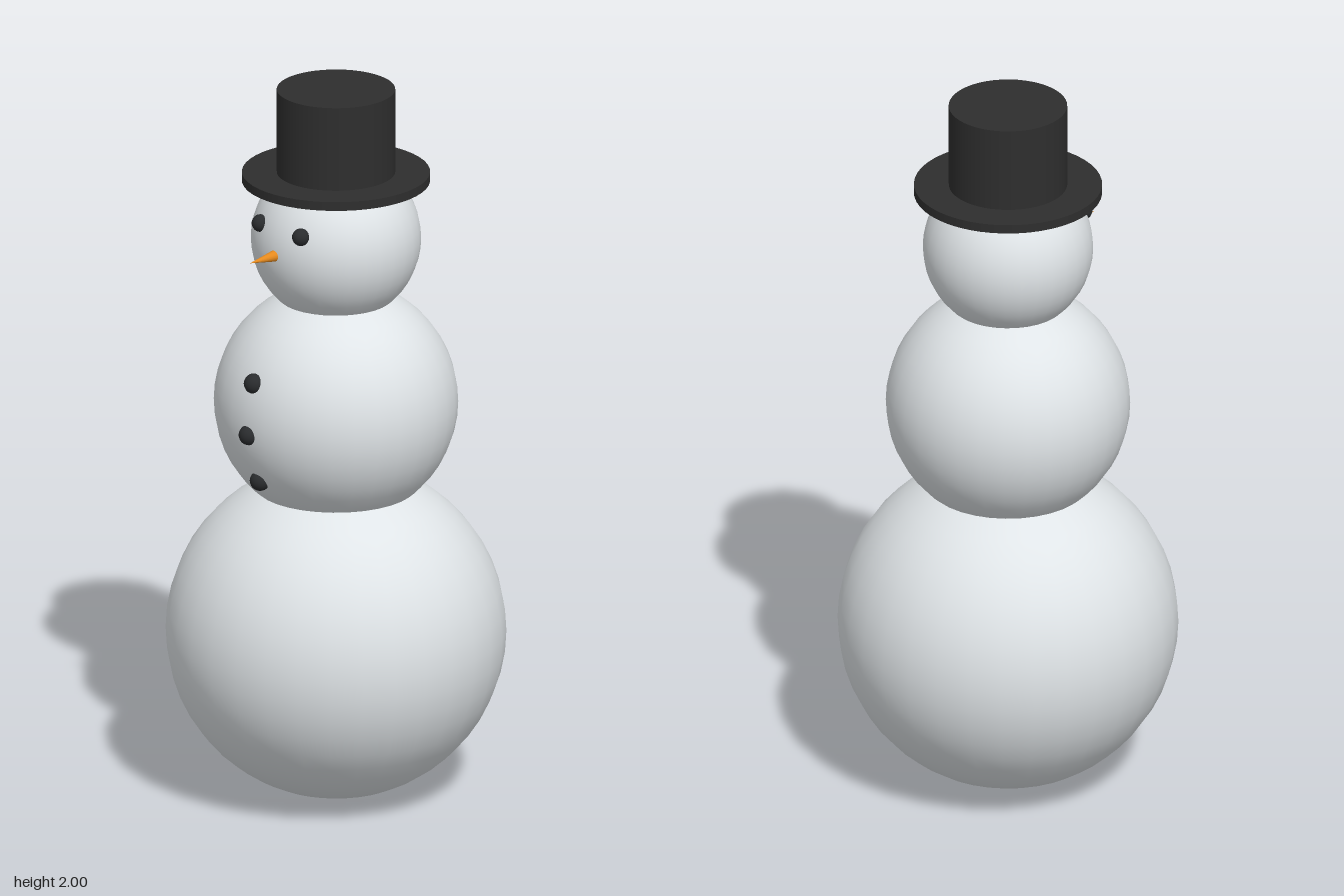
import * as THREE from 'three';

const material = (name, color) => {
  const m = new THREE.MeshStandardMaterial({ color });
  m.name = name;
  return m;
};

export function createModel() {
  const model = new THREE.Group();
  model.name = 'snowman';

  const snow = material('snow', 0xe4e9ec);
  const felt = material('black felt', 0x2e2e2e);
  const coal = material('coal', 0x2a2c2e);
  const carrot = material('carrot orange', 0xe68a1e);

  const add = (name, geometry, mat, x, y, z) => {
    const mesh = new THREE.Mesh(geometry, mat);
    mesh.name = name;
    mesh.position.set(x, y, z);
    model.add(mesh);
    return mesh;
  };

  // Three stacked snowballs: name, radius, centre height
  for (const [name, r, y] of [
    ['lowerBody', 0.46, 0.46],
    ['upperBody', 0.33, 1.113],
    ['head', 0.23, 1.577],
  ]) add(name, new THREE.SphereGeometry(r, 32, 24), snow, 0, y, 0);

  // Top hat
  add('hatBrim', new THREE.CylinderGeometry(0.254, 0.254, 0.025, 48), felt, 0, 1.752, 0);
  add('hatCrown', new THREE.CylinderGeometry(0.16, 0.16, 0.24, 48), felt, 0, 1.88, 0);

  // Coal eyes
  const eye = new THREE.SphereGeometry(0.024, 16, 12);
  for (const side of [-1, 1]) {
    add(side > 0 ? 'leftEye' : 'rightEye', eye, coal, side * 0.08, 1.645, 0.204);
  }

  // Carrot nose pointing forward
  const nose = new THREE.ConeGeometry(0.02, 0.115, 16).rotateX(Math.PI / 2);
  add('nose', nose, carrot, 0, 1.577, 0.26);

  // Coal buttons down the chest: height, depth
  const button = new THREE.SphereGeometry(0.028, 16, 12);
  [[1.23, 0.302], [1.088, 0.321], [0.948, 0.28]].forEach(([y, z], i) =>
    add(`button${i + 1}`, button, coal, 0, y, z));

  return model;
}
